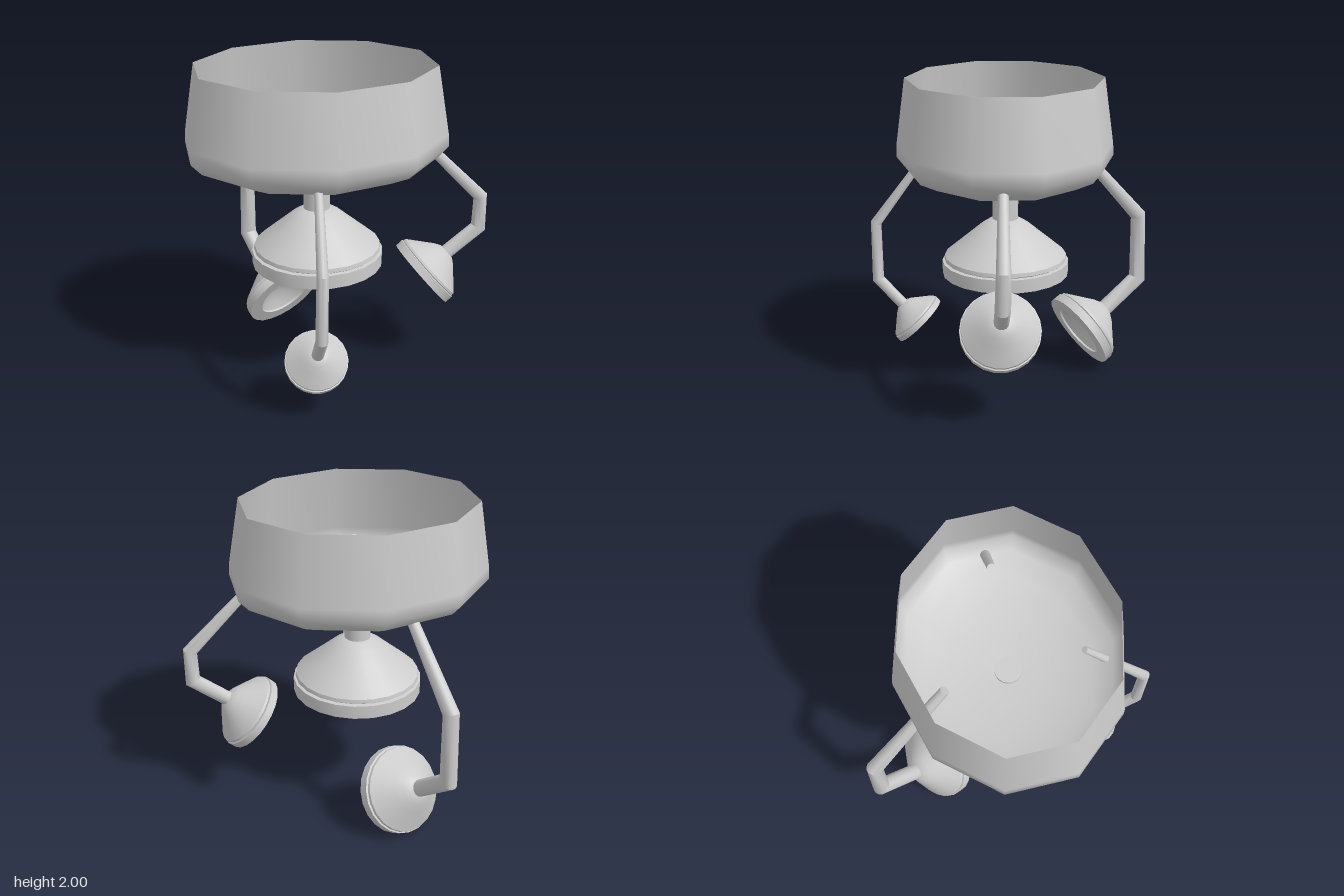
import * as THREE from 'three';
import { toCreasedNormals } from 'three/addons/utils/BufferGeometryUtils.js';

const material = new THREE.MeshStandardMaterial({ color: 0xcccccc, side: THREE.DoubleSide });
const V = (x, y, z) => new THREE.Vector3(x, y, z);
const profile = (pts) => pts.map(([r, y]) => new THREE.Vector2(r, y));

function add(group, name, geometry) {
  const mesh = new THREE.Mesh(geometry, material);
  mesh.name = name;
  group.add(mesh);
  return mesh;
}

// Flared head of unit radius: recessed face, rim band, groove, domed back
function headGeometry() {
  const pts = profile([
    [0, 0.3], [0.25, 0.27], [0.5, 0.17], [0.68, 0.05], [0.68, 0], [1, 0], [1, 0.21],
    [0.94, 0.22], [0.97, 0.24], [0.96, 0.3], [0.77, 0.46], [0.55, 0.645], [0.38, 0.79], [0.22, 0.89], [0, 0.91],
  ]);
  return toCreasedNormals(new THREE.LatheGeometry(pts, 22), 0.6);
}

function addHead(group, name, centre, axis, radius) {
  const head = add(group, name, headGeometry());
  head.position.copy(centre);
  head.quaternion.setFromUnitVectors(V(0, 1, 0), axis.clone().normalize());
  head.scale.setScalar(radius);
}

// Tapered pipe with mitred bends, swept through a few points, capped at both ends
function pipeGeometry(points, radii, sides = 14) {
  const pos = [], index = [];
  const dirs = points.slice(1).map((p, i) => p.clone().sub(points[i]).normalize());
  // The pipe lies close to one plane, so its normal serves as a fixed side vector
  const side = dirs[0].clone().cross(dirs[dirs.length - 1]).normalize();
  points.forEach((p, i) => {
    const a = dirs[Math.max(i - 1, 0)], b = dirs[Math.min(i, dirs.length - 1)];
    const tangent = a.clone().add(b).normalize();
    const stretch = 1 / tangent.dot(a);
    const out = tangent.clone().cross(side).normalize();
    for (let j = 0; j < sides; j++) {
      const t = (j / sides) * Math.PI * 2;
      const v = p.clone()
        .addScaledVector(side, Math.cos(t) * radii[i])
        .addScaledVector(out, Math.sin(t) * radii[i] * stretch);
      pos.push(v.x, v.y, v.z);
      if (i > 0) {
        const k = (j + 1) % sides, lo = (i - 1) * sides, hi = i * sides;
        index.push(lo + j, hi + j, lo + k, lo + k, hi + j, hi + k);
      }
    }
  });
  const last = (points.length - 1) * sides;
  for (let j = 1; j < sides - 1; j++) {
    index.push(0, j, j + 1, last, last + j + 1, last + j);
  }
  const geo = new THREE.BufferGeometry();
  geo.setAttribute('position', new THREE.Float32BufferAttribute(pos, 3));
  geo.setIndex(index);
  return toCreasedNormals(geo, 0.6);
}

export function createModel() {
  const model = new THREE.Group();
  model.name = 'hangingHeads';
  const cx = -0.165, cz = 0.045;

  // Ten-sided open bowl, wider than deep
  const bowl = add(model, 'bowl', new THREE.LatheGeometry(profile([
    [0, 1.3], [0.25, 1.307], [0.5, 1.33], [0.75, 1.375], [0.92, 1.435],
    [1, 1.505], [0.995, 1.58], [0.905, 2],
  ]), 10));
  bowl.position.set(cx, 0, cz);
  bowl.scale.set(0.81, 1, 0.685);

  // Central stem and large head
  const stem = add(model, 'centreStem', new THREE.CylinderGeometry(0.083, 0.083, 0.24, 20));
  stem.position.set(cx, 1.2, cz);
  addHead(model, 'centreHead', V(cx, 0.73, cz), V(0, 1, 0), 0.41);

  // Three bent arms, each ending in a smaller head that faces inward and down
  const arms = [
    { name: 'left', r: 0.046, size: 0.245, centre: V(0.51, 0.585, 0.093), axis: V(0.77, 0.64, -0.02),
      path: [V(0.37, 1.62, 0.07), V(0.89, 1.09, 0.08), V(0.885, 0.88, 0.085)] },
    { name: 'front', r: 0.037, size: 0.19, centre: V(-0.29, 0.335, 0.62), axis: V(-0.07, 0.72, 0.69),
      path: [V(-0.245, 1.6, 0.47), V(-0.3, 1.03, 0.89), V(-0.308, 0.635, 0.892)] },
    { name: 'back', r: 0.053, size: 0.275, centre: V(-0.3, 0.24, -0.455), axis: V(-0.4, 0.5, -0.77),
      path: [V(-0.3, 1.6, -0.36), V(-0.485, 1.01, -0.865), V(-0.49, 0.555, -0.875)] },
  ];
  for (const { name, r, size, centre, axis, path } of arms) {
    const neck = centre.clone().addScaledVector(axis.clone().normalize(), size * 0.85);
    add(model, name + 'Arm', pipeGeometry([...path, neck], [0.55 * r, 0.92 * r, r, r]));
    addHead(model, name + 'Head', centre, axis, size);
  }
  return model;
}
